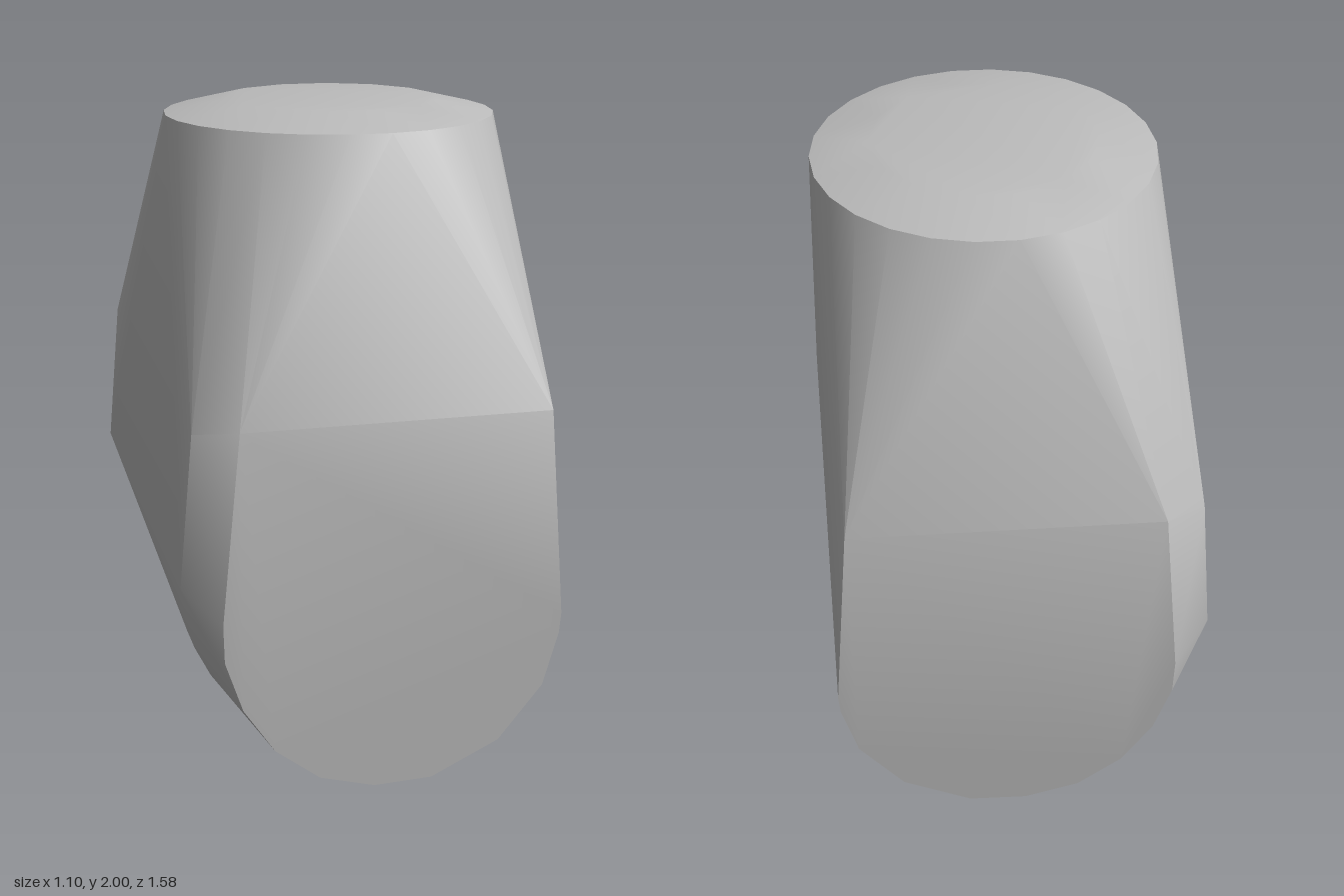
import * as THREE from 'three';
import { toCreasedNormals } from 'three/addons/utils/BufferGeometryUtils.js';
import { ConvexGeometry } from 'three/addons/geometries/ConvexGeometry.js';

// Flat circle of points around the vertical axis of the cap
function ring(radius, y, count) {
  return Array.from({ length: count }, (_, i) => {
    const a = (i / count) * Math.PI * 2;
    return new THREE.Vector3(0.04 + radius * Math.cos(a), y, radius * Math.sin(a));
  });
}

// An x, y outline repeated at +z and -z
function mirrored(outline, z) {
  return outline.flatMap(([x, y]) => [new THREE.Vector3(x, y, z), new THREE.Vector3(x, y, -z)]);
}

export function createModel() {
  const model = new THREE.Group();
  const grey = new THREE.MeshStandardMaterial({ color: 0xbcbcbc });
  grey.name = 'plain grey';

  // Round-bottomed end faces
  const endFace = [
    [-0.40, 1.23], [0.48, 1.23], [0.53, 0.62], [0.525, 0.56], [0.48, 0.40], [0.35, 0.24],
    [0.15, 0.145], [-0.02, 0.14], [-0.18, 0.185], [-0.31, 0.285], [-0.40, 0.42],
    [-0.45, 0.57], [-0.453, 0.68],
  ];
  // Keel across the middle, slightly lower than the ends
  const keel = [
    [-0.41, 0.29], [-0.36, 0.19], [-0.20, 0], [0.28, 0], [0.41, 0.145],
    [0.47, 0.23], [0.505, 0.33], [0.525, 0.45],
  ];
  // Bevelled panel on the right side
  const sidePanel = [[-0.555, 0.77], [-0.516, 1.21]];
  // Slight bulge on the left side
  const bulge = [[0.548, 1.05], [0.548, 1.3]];

  const points = [
    ...ring(0.49, 1.96, 26),
    ...ring(0.325, 2, 14),
    ...mirrored(endFace, 0.79),
    ...mirrored(keel, 0.07),
    ...mirrored(sidePanel, 0.71),
    ...mirrored(bulge, 0.04),
  ];

  const body = new THREE.Mesh(toCreasedNormals(new ConvexGeometry(points), 0.6), grey);
  body.name = 'body';
  model.add(body);
  return model;
}
